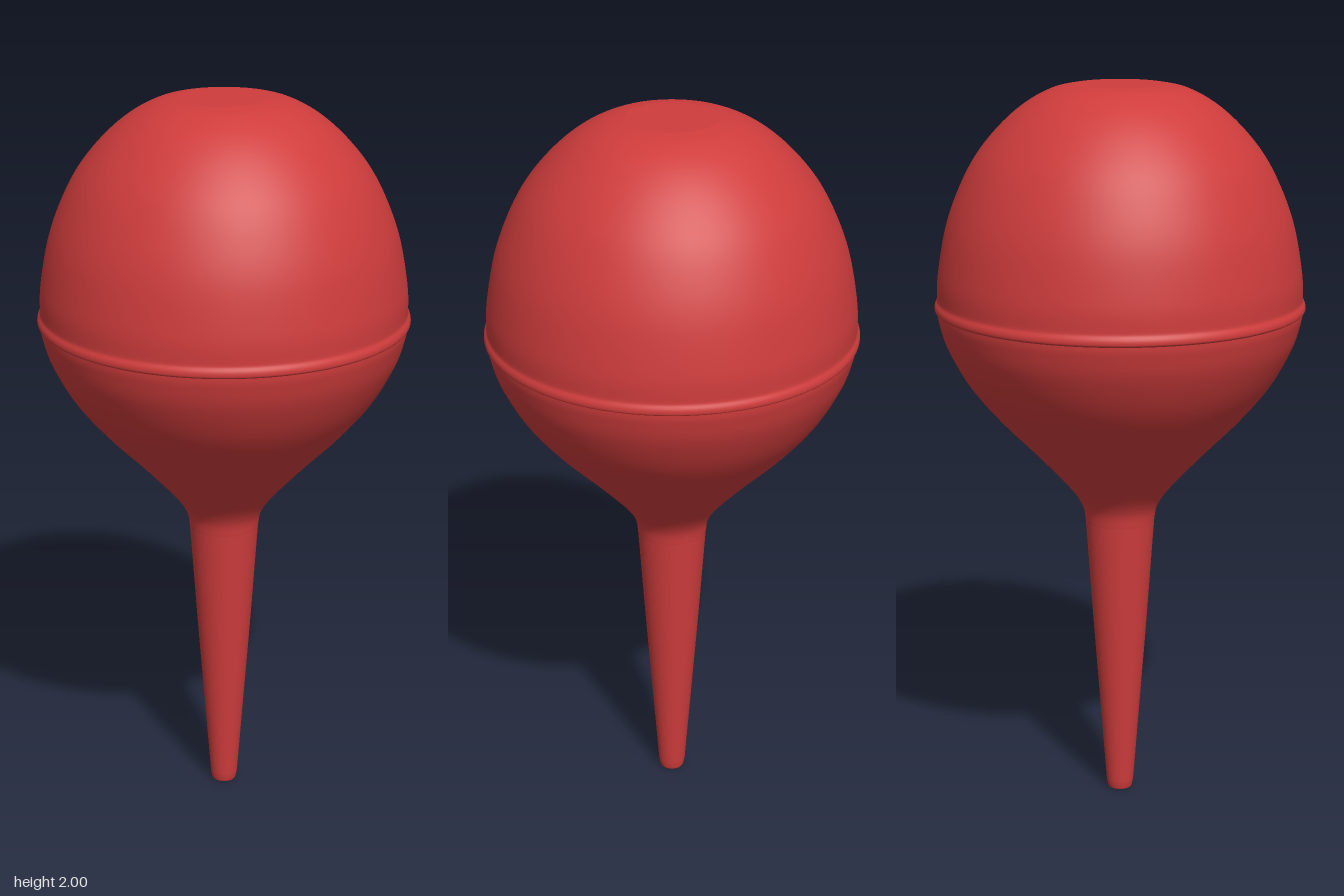
import * as THREE from 'three';

const red = new THREE.MeshStandardMaterial({ color: 0xcf3c3c });

// Smooth curve through [radius, height] pairs
const smooth = (pairs, n) =>
  new THREE.SplineCurve(pairs.map(([r, y]) => new THREE.Vector2(r, y))).getPoints(n);

function lathe(name, points) {
  const mesh = new THREE.Mesh(new THREE.LatheGeometry(points, 96), red);
  mesh.name = name;
  return mesh;
}

export function createModel() {
  const group = new THREE.Group();
  group.name = 'rubberBulbSyringe';

  // Bore inside the nozzle, facing the axis, ending at the open tip
  const bore = [[0, 0.8], [0.06, 0.8], [0.022, 0.015]].map(([r, y]) => new THREE.Vector2(r, y));
  group.add(lathe('nozzleBore', bore));

  // Rounded lip and tapering nozzle
  const lip = smooth([[0.022, 0.015], [0.025, 0.003], [0.029, 0], [0.034, 0.004], [0.038, 0.025]], 16);
  const taper = smooth([[0.038, 0.025], [0.055, 0.25], [0.074, 0.5], [0.09, 0.73], [0.095, 0.8]], 20);
  group.add(lathe('nozzle', [...lip, ...taper.slice(1)]));

  // Lower bulb flaring out from the nozzle
  group.add(lathe('lowerBulb', smooth([
    [0.095, 0.8], [0.104, 0.845], [0.14, 0.9], [0.232, 1.0], [0.33, 1.1],
    [0.412, 1.2], [0.467, 1.3], [0.489, 1.37], [0.493, 1.4],
  ], 56)));

  // Fine raised bead at the widest point
  group.add(lathe('seamBead', smooth([
    [0.493, 1.398], [0.499, 1.402], [0.5, 1.41], [0.498, 1.418], [0.493, 1.427], [0.492, 1.435],
  ], 16)));

  // Domed upper bulb with a small flat crown
  const dome = smooth([
    [0.492, 1.435], [0.489, 1.5], [0.467, 1.62], [0.432, 1.72], [0.385, 1.81], [0.32, 1.89],
    [0.25, 1.95], [0.18, 1.987], [0.12, 2],
  ], 56);
  group.add(lathe('upperBulb', [...dome, new THREE.Vector2(0.08, 2), new THREE.Vector2(0, 2)]));

  return group;
}
